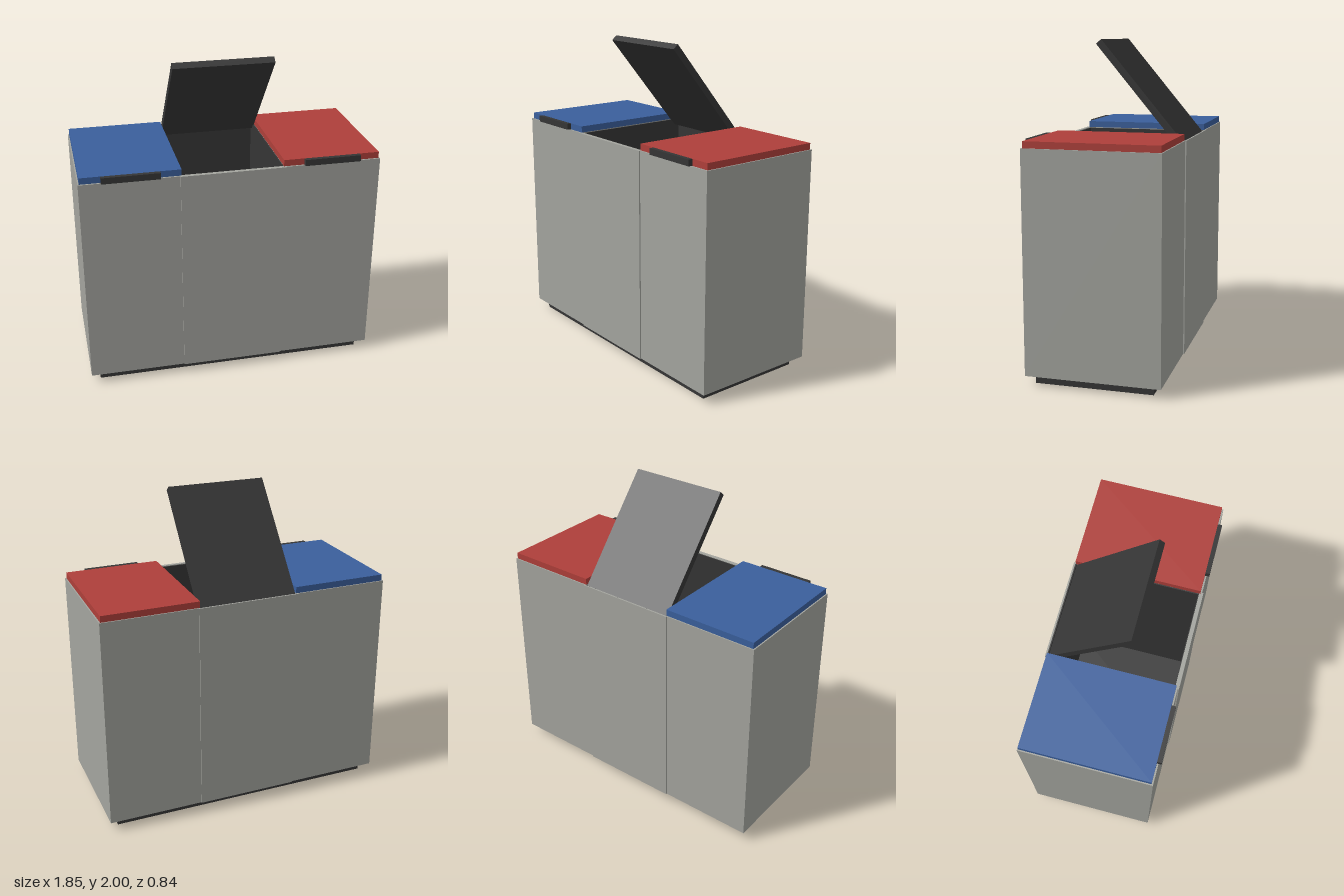
import * as THREE from 'three';

export function createModel() {
  const model = new THREE.Group();
  model.name = 'recyclingStation';

  const material = (name, color) => {
    const m = new THREE.MeshStandardMaterial({ color });
    m.name = name;
    return m;
  };
  const grey = material('warm grey', 0xa3a49e);
  const dark = material('charcoal', 0x353535);
  const blue = material('blue', 0x3a5f9c);
  const red = material('red', 0xae3f3a);

  // Box given by its minimum and maximum corners
  const box = (name, mat, [x0, y0, z0], [x1, y1, z1], parent = model) => {
    const mesh = new THREE.Mesh(new THREE.BoxGeometry(x1 - x0, y1 - y0, z1 - z0), mat);
    mesh.position.set((x0 + x1) / 2, (y0 + y1) / 2, (z0 + z1) / 2);
    mesh.name = name;
    parent.add(mesh);
    return mesh;
  };

  // Rectangular tube standing upright: outer and inner limits as [x, zBack, zFront]
  const tube = (name, mat, outer, inner, y0, y1) => {
    const corners = ([x, zb, zf]) =>
      [[-x, -zf], [x, -zf], [x, -zb], [-x, -zb]].map(p => new THREE.Vector2(...p));
    const shape = new THREE.Shape(corners(outer));
    shape.holes.push(new THREE.Path(corners(inner)));
    const geo = new THREE.ExtrudeGeometry(shape, { depth: y1 - y0, bevelEnabled: false });
    geo.rotateX(-Math.PI / 2);
    const mesh = new THREE.Mesh(geo, mat);
    mesh.position.y = y0;
    mesh.name = name;
    model.add(mesh);
  };

  // Recessed plinth
  box('plinth', dark, [-0.865, 0, -0.36], [0.865, 0.065, 0.355]);

  // Closed outer bins with coloured lids and front handles
  for (const [side, s, mat] of [['left', 1, red], ['right', -1, blue]]) {
    const bin = new THREE.Group();
    bin.name = side + 'Bin';
    model.add(bin);
    const span = (a, b) => (s > 0 ? [a, b] : [-b, -a]);
    const [b0, b1] = span(0.322, 0.923);
    box(side + 'Body', grey, [b0, 0.06, -0.415], [b1, 1.4, 0.402], bin);
    const [l0, l1] = span(0.313, 0.915);
    box(side + 'Lid', mat, [l0, 1.4, -0.408], [l1, 1.44, 0.392], bin);
    const [h0, h1] = span(0.44, 0.79);
    box(side + 'Handle', dark, [h0, 1.401, 0.392], [h1, 1.44, 0.42], bin);
  }

  // Open middle bin: shell, dark liner and floor
  tube('middleBody', grey, [0.322, -0.422, 0.41], [0.315, -0.412, 0.385], 0.06, 1.4);
  tube('liner', dark, [0.315, -0.412, 0.385], [0.308, -0.405, 0.38], 0.06, 1.395);
  box('binFloor', dark, [-0.315, 0.06, -0.412], [0.315, 0.1, 0.385]);

  // Raised middle lid, hinged at the back
  const hinge = new THREE.Group();
  hinge.name = 'middleLidHinge';
  hinge.position.set(0, 1.387, -0.403);
  hinge.rotation.x = -THREE.MathUtils.degToRad(50);
  box('middleLid', dark, [-0.313, -0.043, 0], [0.313, 0, 0.8], hinge);
  model.add(hinge);

  return model;
}
